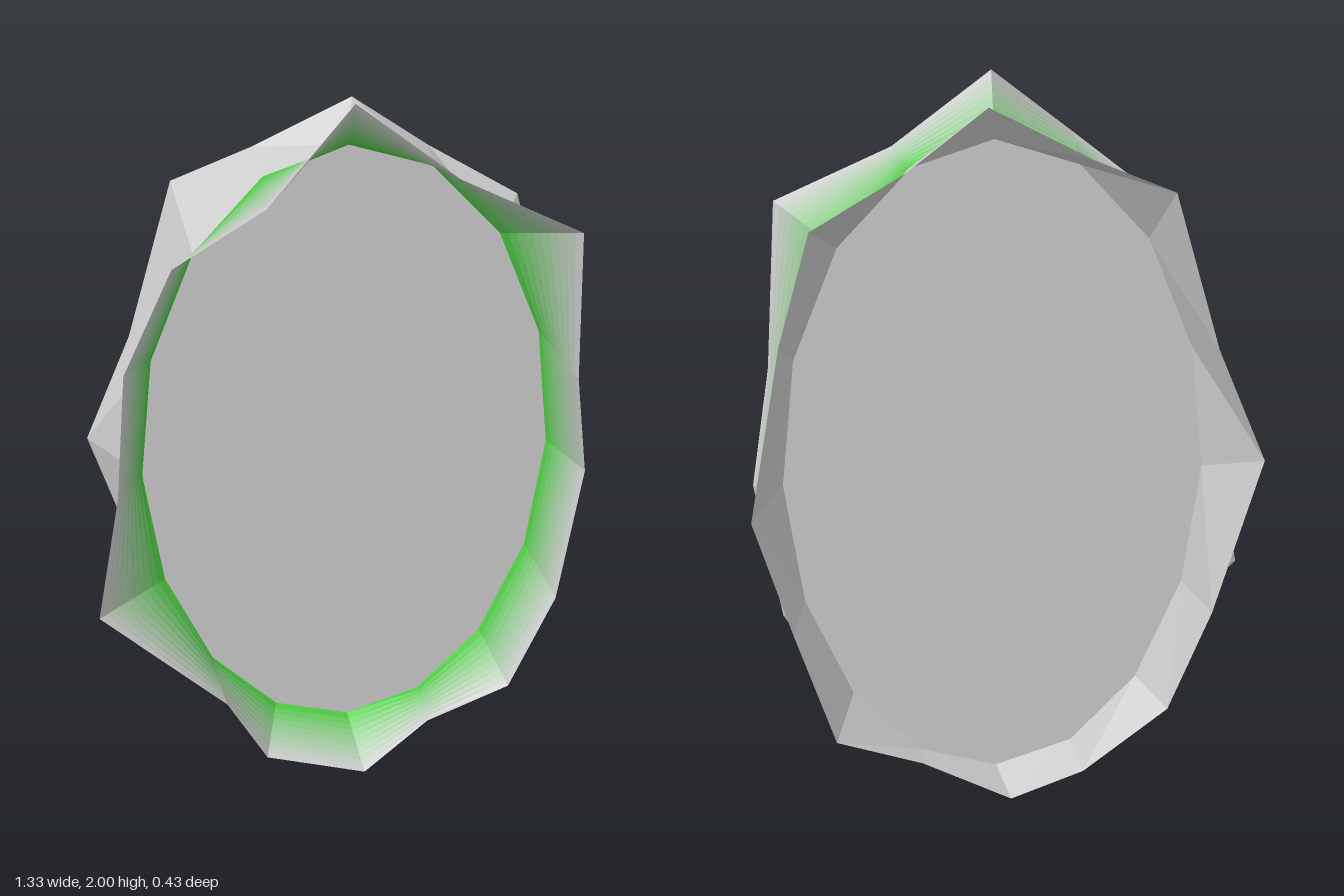
import * as THREE from 'three';

const SIDES = 16;
const DISC_Z = -0.065;

// Outer corners of each flared rim, clockwise from the top: x, y, z
const FRONT = [
  [0.02, 2, 0.065], [0.27, 1.81, 0.095], [0.57, 1.67, 0.14], [0.605, 1.24, 0.09],
  [0.66, 0.93, 0.045], [0.6, 0.53, 0.065], [0.465, 0.265, 0.105], [0.24, 0.14, 0.07],
  [0.05, 0, 0.1], [-0.23, 0.075, 0.075], [-0.34, 0.29, 0.08], [-0.67, 0.62, 0.07],
  [-0.595, 0.98, 0.05], [-0.56, 1.38, 0.14], [-0.43, 1.65, 0.14], [-0.21, 1.815, 0.21],
].map((p) => new THREE.Vector3(...p));
const BACK = [
  [0.05, 1.945, -0.15], [0.25, 1.8, -0.175], [0.485, 1.66, -0.16], [0.57, 1.38, -0.175],
  [0.66, 0.93, -0.205], [0.57, 0.6, -0.19], [0.47, 0.285, -0.215], [0.24, 0.185, -0.185],
  [0, 0.06, -0.195], [-0.2, 0.13, -0.19], [-0.43, 0.31, -0.19], [-0.54, 0.6, -0.195],
  [-0.66, 1.03, -0.19], [-0.53, 1.33, -0.175], [-0.4, 1.74, -0.195], [-0.2, 1.82, -0.18],
].map((p) => new THREE.Vector3(...p));

// Sixteen-sided oval shared by the disc and both rims
const OVAL = Array.from({ length: SIDES }, (_, i) => {
  const a = (i / SIDES) * Math.PI * 2;
  return new THREE.Vector3(0.027 + 0.552 * Math.sin(a), 0.972 + 0.882 * Math.cos(a), DISC_Z);
});

function material(color) {
  return new THREE.MeshStandardMaterial({ color, flatShading: true, side: THREE.DoubleSide });
}

// Closed strip of facets joining two loops of corners
function strip(name, inner, outer, color) {
  const index = [];
  for (let i = 0; i < SIDES; i++) {
    const j = (i + 1) % SIDES;
    index.push(i, i + SIDES, j, j, i + SIDES, j + SIDES);
  }
  const geometry = new THREE.BufferGeometry().setFromPoints([...inner, ...outer]);
  geometry.setIndex(index);
  geometry.computeVertexNormals();
  const mesh = new THREE.Mesh(geometry, material(color));
  mesh.name = name;
  return mesh;
}

export function createModel() {
  const model = new THREE.Group();
  model.name = 'portal';

  // Flat oval surface
  const shape = new THREE.Shape(OVAL.map((p) => new THREE.Vector2(p.x, p.y)));
  const disc = new THREE.Mesh(new THREE.ShapeGeometry(shape), material(0xcccccc));
  disc.name = 'disc';
  disc.position.z = DISC_Z;
  model.add(disc);

  // Front rim, fading from green at the disc to grey at the tips
  const frontRim = new THREE.Group();
  frontRim.name = 'frontRim';
  const green = new THREE.Color(0x3ccc2c);
  const grey = new THREE.Color(0xcccccc);
  const bands = 10;
  const loopAt = (t) => OVAL.map((p, i) => p.clone().lerp(FRONT[i], t));
  for (let b = 0; b < bands; b++) {
    const color = green.clone().lerp(grey, (b + 0.5) / bands);
    frontRim.add(strip('frontRimBand' + (b + 1), loopAt(b / bands), loopAt((b + 1) / bands), color));
  }
  model.add(frontRim);

  // Plain rim flaring to the back
  model.add(strip('backRim', OVAL, BACK, 0xcccccc));

  return model;
}
